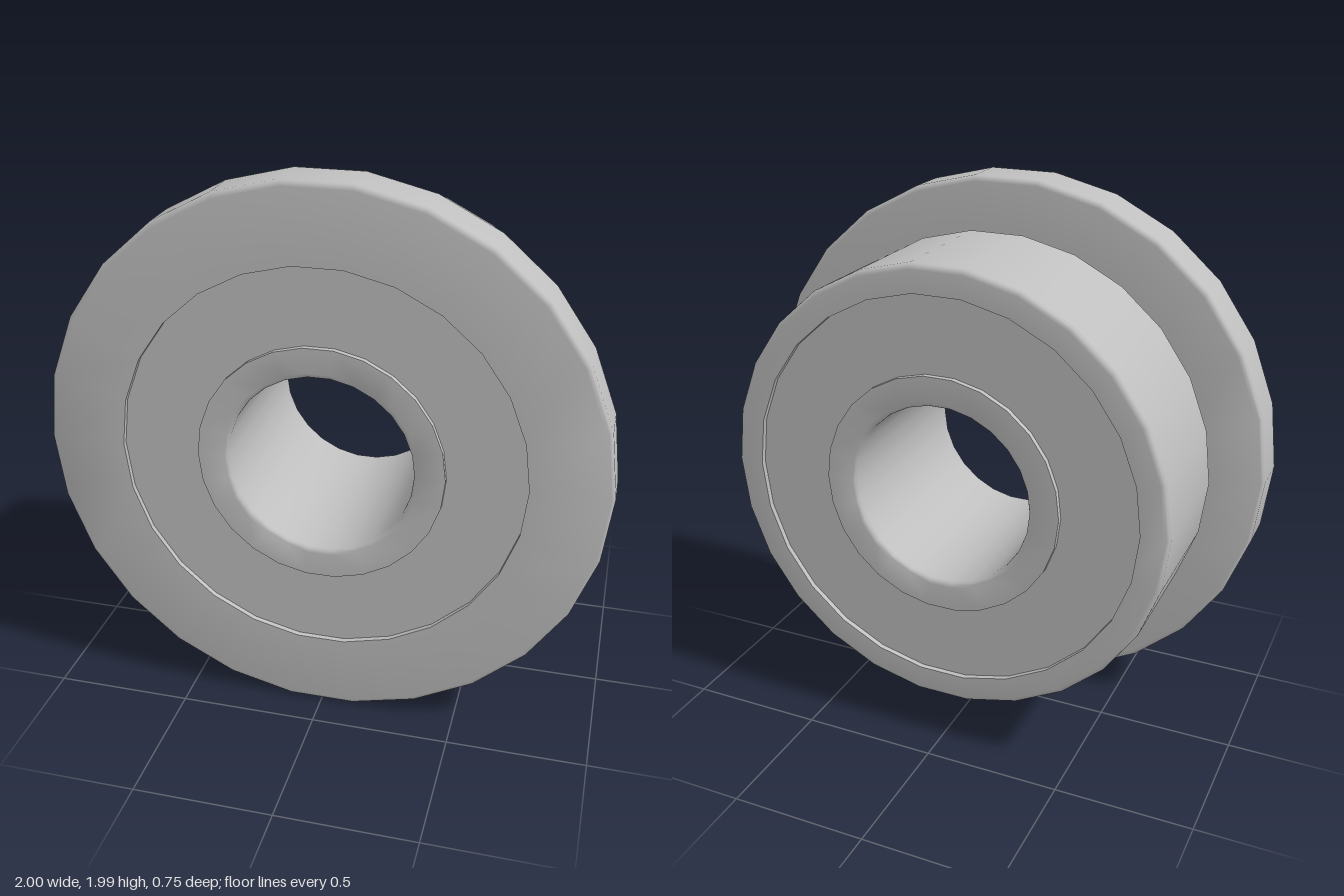
import * as THREE from 'three';
import { toCreasedNormals } from 'three/addons/utils/BufferGeometryUtils.js';

const SIDES = 26;
const HALF = 0.375;   // half depth of the bearing
const RECESS = 0.02;  // how far the shields sit below the rings

// Points of a quarter arc in the (radius, z) plane, angles in degrees
function arc(r, z, radius, from, to, steps = 4) {
  return Array.from({ length: steps + 1 }, (_, i) => {
    const a = THREE.MathUtils.degToRad(from + (to - from) * i / steps);
    return new THREE.Vector2(r + radius * Math.cos(a), z + radius * Math.sin(a));
  });
}

// Closed counter-clockwise profile turned around the z axis
function turned(name, profile, material) {
  const lathe = new THREE.LatheGeometry([...profile, profile[0].clone()], SIDES, Math.PI / 2);
  lathe.rotateX(Math.PI / 2);
  const mesh = new THREE.Mesh(toCreasedNormals(lathe, THREE.MathUtils.degToRad(35)), material);
  mesh.name = name;
  return mesh;
}

export function createModel() {
  const steel = new THREE.MeshStandardMaterial({ color: 0xbfbfbf });
  steel.name = 'steel';
  const p = (r, z) => new THREE.Vector2(r, z);
  const group = new THREE.Group();
  group.name = 'flangedBearing';

  // Outer ring: body, undercut groove and flange
  const f = 0.02;
  group.add(turned('outerRing', [
    p(0.72, -HALF),
    ...arc(0.82 - f, -HALF + f, f, -90, 0),
    p(0.82, 0.115),
    ...arc(0.82, 0.18, 0.065, 270, 180, 6),
    p(0.755, 0.185),
    ...arc(1 - f, 0.185 + f, f, -90, 0),
    ...arc(1 - f, HALF - f, f, 0, 90),
    p(0.72, HALF),
  ], steel));

  // Inner ring with a rounded bore
  group.add(turned('innerRing', [
    p(0.44, -HALF),
    p(0.44, HALF),
    ...arc(0.33 + f, HALF - f, f, 90, 180),
    ...arc(0.33 + f, -HALF + f, f, 180, 270),
  ], steel));

  // Recessed shields on both faces
  for (const [name, z] of [['frontShield', HALF - RECESS], ['backShield', -HALF + RECESS + 0.02]]) {
    group.add(turned(name, [p(0.44, z - 0.02), p(0.72, z - 0.02), p(0.72, z), p(0.44, z)], steel));
  }

  // Rest the lowest flat of the flange on the ground
  group.children.forEach((m) => { m.position.y = Math.cos(Math.PI / SIDES); });
  return group;
}
